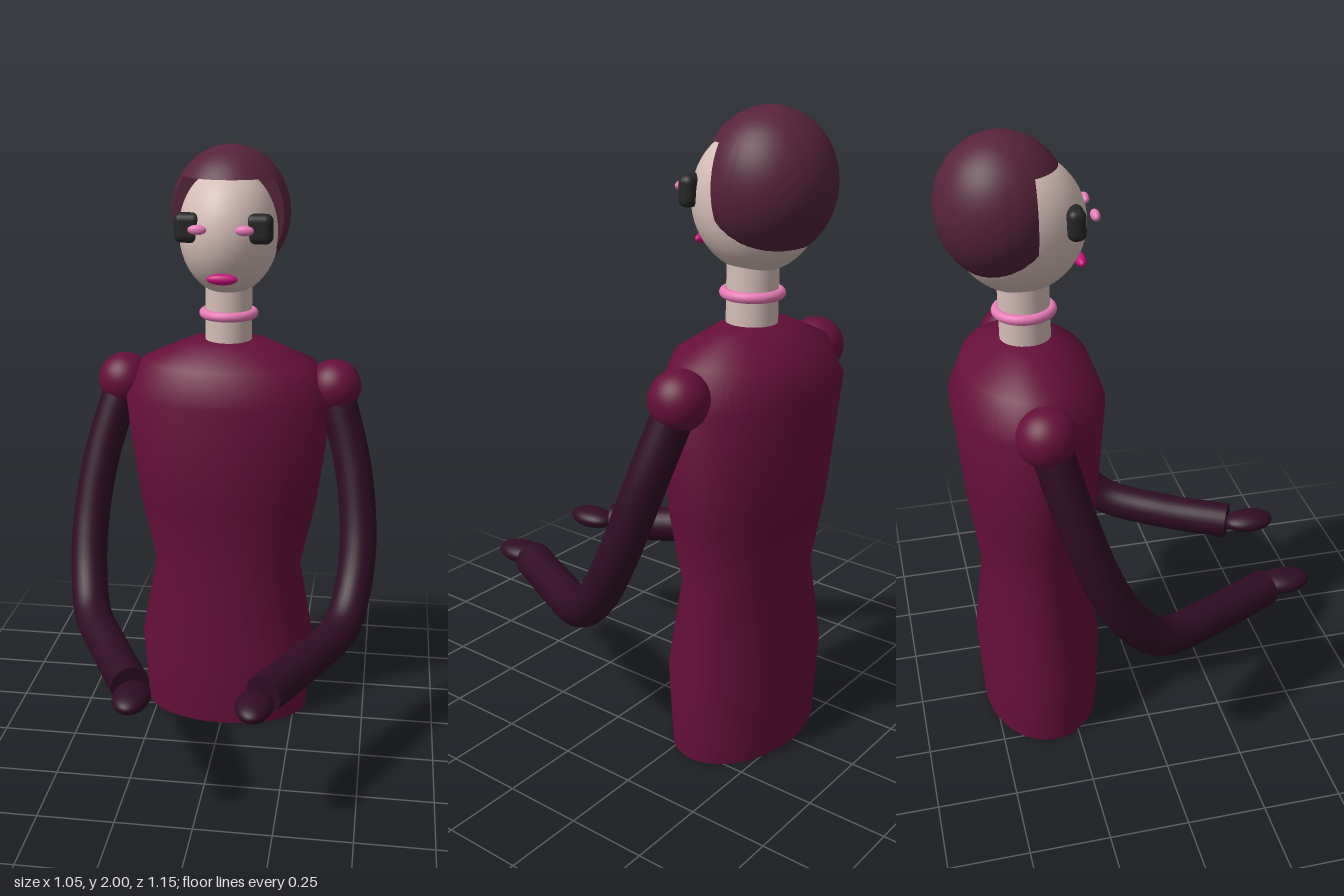
import * as THREE from 'three';
import { toCreasedNormals } from 'three/addons/utils/BufferGeometryUtils.js';
import { RoundedBoxGeometry } from 'three/addons/geometries/RoundedBoxGeometry.js';

const paint = (color) => new THREE.MeshStandardMaterial({ color });
const MAT = {
  dress: paint(0x660f3a), sleeve: paint(0x300c24), hair: paint(0x55233a), skin: paint(0xd6beb8),
  eye: paint(0x262626), pink: paint(0xe87ab8), lips: paint(0xc8107a),
};
const BODY_Z = -0.335;

export function createModel() {
  const model = new THREE.Group();

  const add = (name, geometry, material, x = 0, y = 0, z = 0) => {
    const mesh = new THREE.Mesh(geometry, material);
    mesh.name = name;
    mesh.position.set(x, y, z);
    model.add(mesh);
    return mesh;
  };
  const ellipsoid = (rx, ry, rz) => new THREE.SphereGeometry(1, 40, 28).scale(rx, ry, rz);
  const lathe = (points) => new THREE.LatheGeometry(points.map(([r, y]) => new THREE.Vector2(r, y)), 64);

  // Torso: oval lathe with a flat base
  const torso = lathe([
    [0, 0], [0.29, 0], [0.31, 0.27], [0.258, 0.56], [0.31, 0.8],
    [0.36, 1.18], [0.295, 1.295], [0.13, 1.368], [0, 1.37],
  ]).scale(1, 1, 0.66);
  add('torso', toCreasedNormals(torso, 1.1), MAT.dress, 0, 0, BODY_Z);

  // Neck, necklace and head
  add('neck', new THREE.CylinderGeometry(0.078, 0.078, 0.26, 40), MAT.skin, 0, 1.43, -0.33);
  const necklace = add('necklace', new THREE.TorusGeometry(0.083, 0.016, 16, 48), MAT.pink, 0, 1.457, -0.33);
  necklace.rotation.x = Math.PI / 2;
  add('head', ellipsoid(0.165, 0.21, 0.2), MAT.skin, 0, 1.73, BODY_Z);

  // Hair: two closed parts of one ellipsoid, leaving a notch for the face
  const hairSize = [0.197, 0.217, 0.197];
  const sphereCap = (height) => {
    const points = [[0, height]];
    const start = Math.acos(height);
    for (let i = 0; i <= 28; i++) {
      const a = start * (1 - i / 28);
      points.push([Math.sin(a), Math.cos(a)]);
    }
    return lathe(points);
  };
  const fringe = sphereCap(0.12 / 0.217).scale(...hairSize);
  const backHair = sphereCap(-0.38).rotateX(-Math.PI / 2).scale(...hairSize);
  add('fringe', toCreasedNormals(fringe, 0.6), MAT.hair, 0, 1.783, -0.38);
  add('backHair', toCreasedNormals(backHair, 0.6), MAT.hair, 0, 1.783, -0.38);

  add('lips', ellipsoid(0.05, 0.018, 0.018), MAT.lips, 0, 1.6, -0.157);

  for (const [side, s] of [['left', 1], ['right', -1]]) {
    // Eyes with a small pink accent in front
    add(side + 'Eye', new RoundedBoxGeometry(0.088, 0.095, 0.055, 4, 0.024), MAT.eye, s * 0.115, 1.757, -0.19);
    add(side + 'EyeAccent', ellipsoid(0.03, 0.016, 0.014), MAT.pink, s * 0.075, 1.76, -0.124);

    // Shoulder ball
    add(side + 'Shoulder', ellipsoid(0.09, 0.09, 0.09), MAT.dress, s * 0.36, 1.215, BODY_Z);

    // Bent sleeve, closed at the wrist
    const path = new THREE.CatmullRomCurve3([
      [0.36, 1.215, -0.335], [0.435, 0.95, -0.265], [0.463, 0.72, -0.185], [0.452, 0.57, -0.1],
      [0.42, 0.48, 0], [0.315, 0.447, 0.2], [0.207, 0.44, 0.41],
    ].map(([x, y, z]) => new THREE.Vector3(s * x, y, z)));
    add(side + 'Sleeve', new THREE.TubeGeometry(path, 64, 0.062, 28), MAT.sleeve);
    const cuff = add(side + 'Cuff', new THREE.CircleGeometry(0.062, 28), MAT.sleeve);
    cuff.position.copy(path.getPoint(1));
    cuff.lookAt(path.getPoint(1).add(path.getTangent(1)));

    add(side + 'Hand', ellipsoid(0.058, 0.034, 0.088), MAT.sleeve, s * 0.187, 0.443, 0.486);
  }

  return model;
}
